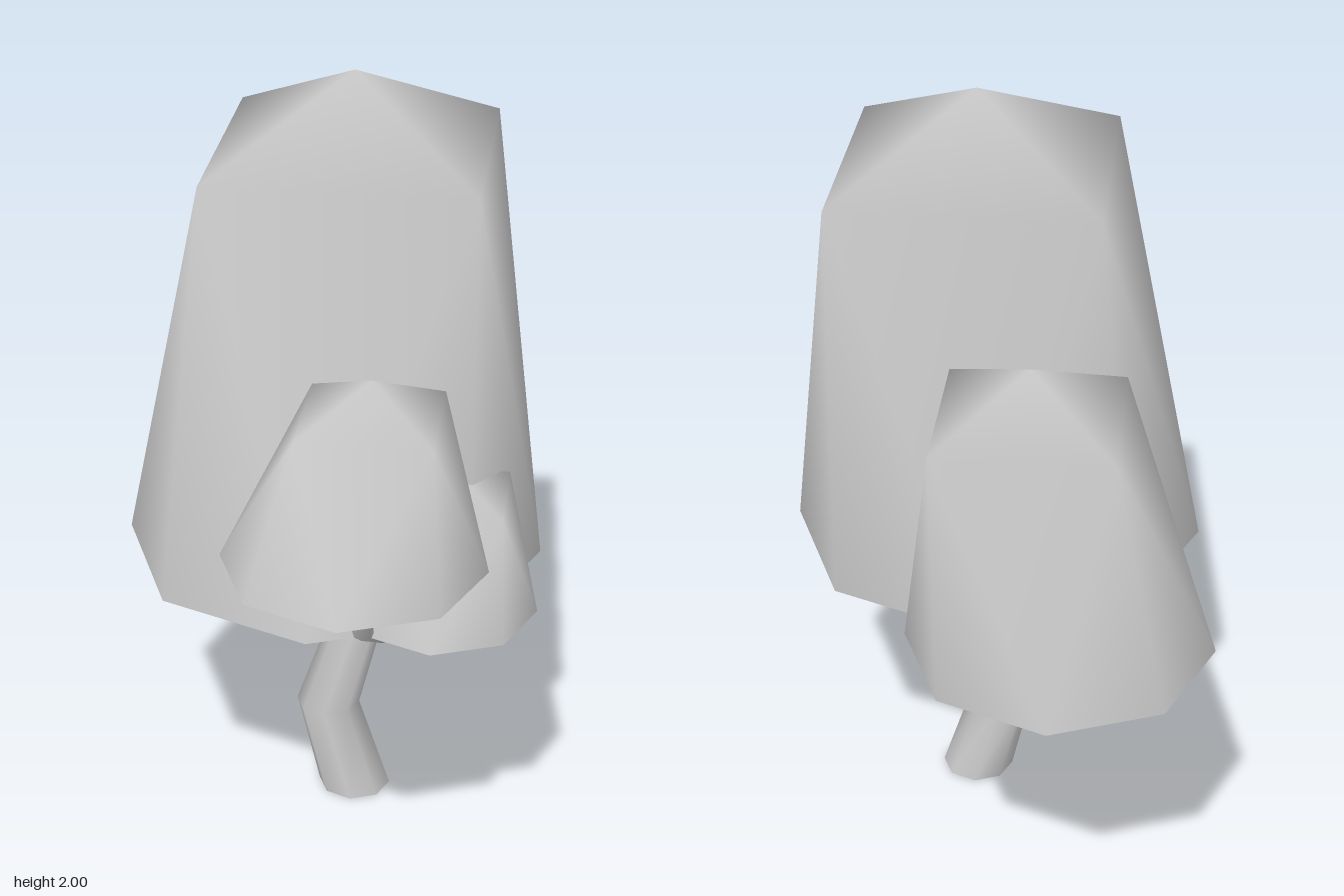
import * as THREE from 'three';
import { mergeVertices, mergeGeometries } from 'three/addons/utils/BufferGeometryUtils.js';

const UP = new THREE.Vector3(0, 1, 0);

// Points of a level ring, starting at +x and turning towards +z
function ring(sides, radius) {
  return Array.from({ length: sides }, (_, j) => {
    const a = (j / sides) * Math.PI * 2;
    return new THREE.Vector3(Math.cos(a) * radius, 0, Math.sin(a) * radius);
  });
}

// Triangles with shared corners and smooth normals
function smooth(points) {
  const geometry = mergeVertices(new THREE.BufferGeometry().setFromPoints(points), 1e-5);
  geometry.computeVertexNormals();
  return geometry;
}

// Open limb through [x, y, z, radius]; with follow the rings turn with the path, else they stay level
function limb(path, follow) {
  const sides = 8;
  const centres = path.map(([x, y, z]) => new THREE.Vector3(x, y, z));
  const last = path.length - 1;
  const loops = path.map(([, , , radius], i) => {
    const q = new THREE.Quaternion();
    if (follow) {
      const before = centres[i].clone().sub(centres[Math.max(i - 1, 0)]).normalize();
      const after = centres[Math.min(i + 1, last)].clone().sub(centres[i]).normalize();
      q.setFromUnitVectors(UP, before.add(after).normalize());
    }
    return ring(sides, radius).map((p) => p.applyQuaternion(q).add(centres[i]));
  });
  const points = [];
  for (let i = 0; i < last; i++) {
    for (let j = 0; j < sides; j++) {
      const k = (j + 1) % sides;
      const a = loops[i][j], b = loops[i][k], c = loops[i + 1][j], d = loops[i + 1][k];
      points.push(a, c, b, b, c, d);
    }
  }
  return smooth(points);
}

// Crown: eight-cornered flat base, four-cornered rim and a pointed tip
function crown([bx, bz, br, by], [rx, rz, rr, ry], tipY) {
  const centre = new THREE.Vector3(bx, by, bz);
  const tip = new THREE.Vector3(rx, tipY, rz);
  const base = ring(8, br).map((p) => p.add(centre));
  const rim = ring(4, rr).map((p) => p.add(new THREE.Vector3(rx, ry, rz)));
  const skin = [], floor = [];
  for (let q = 0; q < 4; q++) {
    const r0 = rim[q], r1 = rim[(q + 1) % 4];
    const b0 = base[2 * q], b1 = base[2 * q + 1], b2 = base[(2 * q + 2) % 8];
    skin.push(r0, tip, r1, b0, r0, b1, r0, r1, b1, b1, r1, b2);
    floor.push(centre, b0, b1, centre, b1, b2);
  }
  return mergeGeometries([smooth(skin), smooth(floor)]);
}

export function createModel() {
  const model = new THREE.Group();
  model.name = 'tree';
  const leaves = new THREE.MeshStandardMaterial({ color: 0xcccccc });
  const bark = new THREE.MeshStandardMaterial({ color: 0xcccccc, side: THREE.DoubleSide });

  function add(name, geometry, material) {
    const mesh = new THREE.Mesh(geometry, material);
    mesh.name = name;
    model.add(mesh);
  }

  // Crooked trunk
  add('trunk', limb([
    [0.11, 0, -0.038, 0.095],
    [0.062, 0.255, 0.015, 0.083],
    [0.117, 0.58, -0.066, 0.067],
    [0.107, 0.8, -0.045, 0.058],
    [0.1, 1.0, -0.03, 0.05],
  ], false), bark);

  // Branches reaching into the side crowns
  add('leftBranch', limb([
    [0.165, 0.6, -0.05, 0.038],
    [0.38, 0.645, 0.085, 0.033],
    [0.54, 0.79, 0.28, 0.026],
    [0.565, 1.06, 0.28, 0.019],
  ], true), bark);
  add('rightBranch', limb([
    [0.09, 0.46, -0.06, 0.044],
    [-0.055, 0.73, -0.14, 0.037],
    [-0.17, 0.79, -0.19, 0.03],
    [-0.4, 0.9, -0.26, 0.02],
  ], true), bark);

  // Crowns: base [x, z, radius, y], rim [x, z, radius, y], height of the tip
  const crowns = [
    ['mainCrown', [0.097, 0.025, 0.53, 0.765], [0.09, -0.04, 0.46, 1.81], 2.0],
    ['rightCrown', [-0.508, -0.276, 0.374, 0.83], [-0.47, -0.338, 0.296, 1.455], 1.575],
    ['leftFrontCrown', [0.567, 0.331, 0.315, 1.005], [0.585, 0.297, 0.22, 1.38], 1.47],
    ['leftBackCrown', [0.527, 0.033, 0.24, 0.77], [0.54, 0.01, 0.183, 1.075], 1.145],
  ];
  for (const [name, base, rim, tip] of crowns) add(name, crown(base, rim, tip), leaves);
  return model;
}
